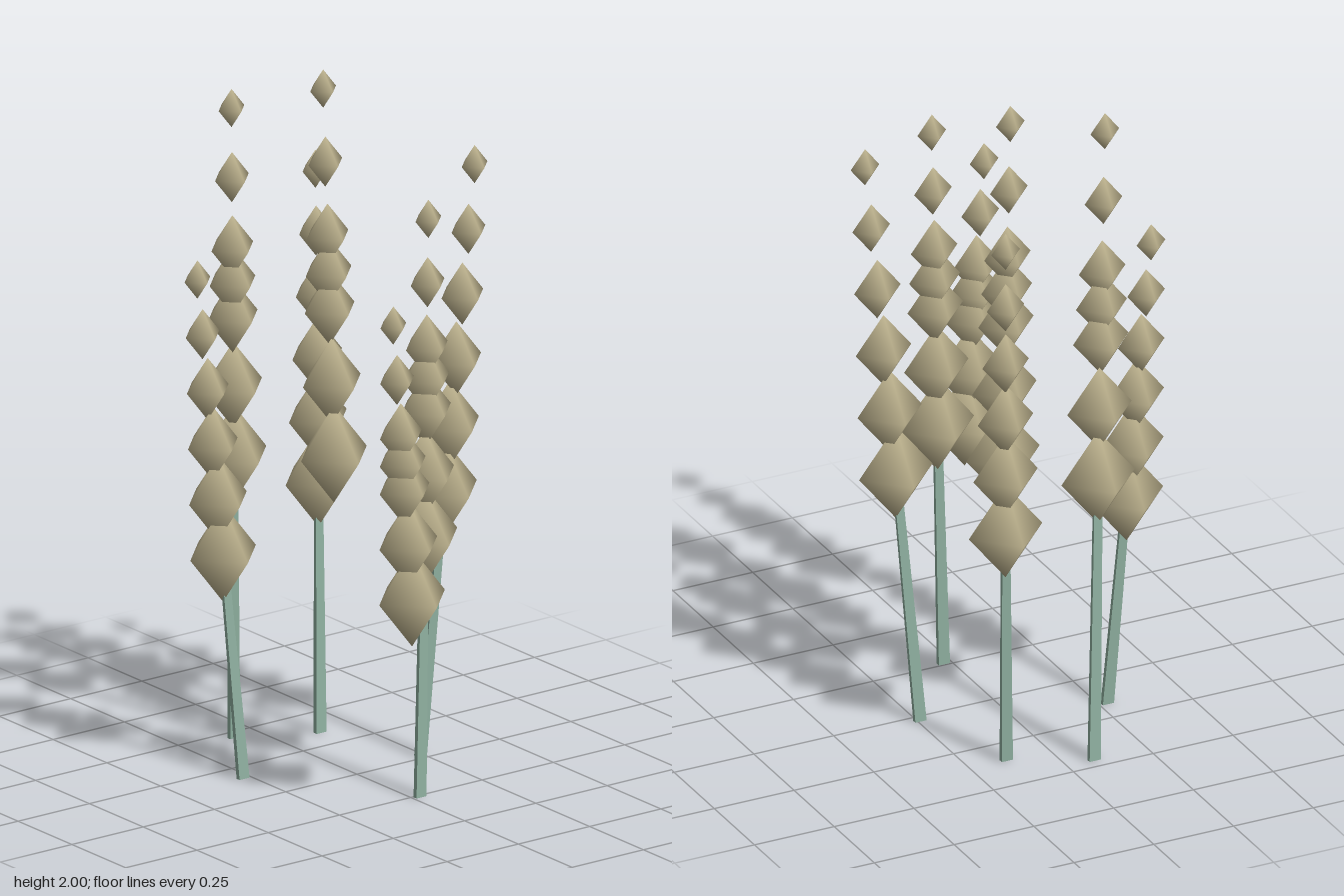
import * as THREE from 'three';

const seedMaterial = new THREE.MeshStandardMaterial({ color: 0xc2b792 });
seedMaterial.name = 'dry seed';
const stemMaterial = new THREE.MeshStandardMaterial({ color: 0x8fb0a0 });
stemMaterial.name = 'pale green stem';

// lowest seed centre, tip seed centre, ground point of the stem (or null), extra middle seed
const STALKS = [
  { low: [-0.12, 0.86, -0.415], tip: [-0.17, 1.91, -0.358], foot: [-0.085, 0, -0.46], extra: true },
  { low: [0.155, 0.74, -0.385], tip: [0.175, 1.64, -0.425], foot: [0.135, 0, -0.35], extra: false },
  { low: [-0.315, 0.665, -0.205], tip: [-0.365, 1.47, -0.258], foot: [-0.275, 0, -0.165], extra: false },
  { low: [0.07, 0.88, -0.2], tip: [0.076, 1.944, -0.258], foot: null, extra: true },
  { low: [0.305, 0.785, 0.0], tip: [0.38, 1.74, 0.043], foot: [0.242, 0, -0.025], extra: false },
  { low: [0.05, 0.765, 0.247], tip: [0.076, 1.693, 0.231], foot: [0.025, 0, 0.26], extra: true },
  { low: [-0.12, 0.663, 0.415], tip: [-0.17, 1.473, 0.394], foot: null, extra: true },
];

const LOW_RADIUS = 0.115, TIP_RADIUS = 0.045, SEED_STRETCH = 1.26;

// four-sided double pyramid with smooth normals, corners on the axes
const seedGeometry = new THREE.SphereGeometry(1, 4, 2);

function makeSeed(low, tip, t) {
  const seed = new THREE.Mesh(seedGeometry, seedMaterial);
  const r = THREE.MathUtils.lerp(LOW_RADIUS, TIP_RADIUS, t);
  seed.name = 'seed';
  seed.position.lerpVectors(low, tip, t);
  seed.scale.set(r, r * SEED_STRETCH, r);
  return seed;
}

// flat stem, sheared from the ground up to the lowest seed and slightly tapered
function makeStem(foot, top) {
  const geometry = new THREE.BoxGeometry(0.035, 1, 0.014);
  const p = geometry.attributes.position;
  for (let i = 0; i < p.count; i++) {
    const t = p.getY(i) + 0.5;
    const taper = 1 - 0.3 * t;
    p.setXYZ(i,
      THREE.MathUtils.lerp(foot.x, top.x, t) + p.getX(i) * taper,
      THREE.MathUtils.lerp(foot.y, top.y, t),
      THREE.MathUtils.lerp(foot.z, top.z, t) + p.getZ(i) * taper);
  }
  geometry.computeVertexNormals();
  const stem = new THREE.Mesh(geometry, stemMaterial);
  stem.name = 'stem';
  return stem;
}

export function createModel() {
  const model = new THREE.Group();
  model.name = 'seedStalks';
  for (const s of STALKS) {
    const stalk = new THREE.Group();
    stalk.name = 'stalk';
    const low = new THREE.Vector3(...s.low);
    const tip = new THREE.Vector3(...s.tip);
    // six evenly spaced seeds, shrinking towards the tip
    for (let i = 0; i < 6; i++) stalk.add(makeSeed(low, tip, i / 5));
    if (s.extra) stalk.add(makeSeed(low, tip, 0.5));
    if (s.foot) stalk.add(makeStem(new THREE.Vector3(...s.foot), low));
    model.add(stalk);
  }
  return model;
}
